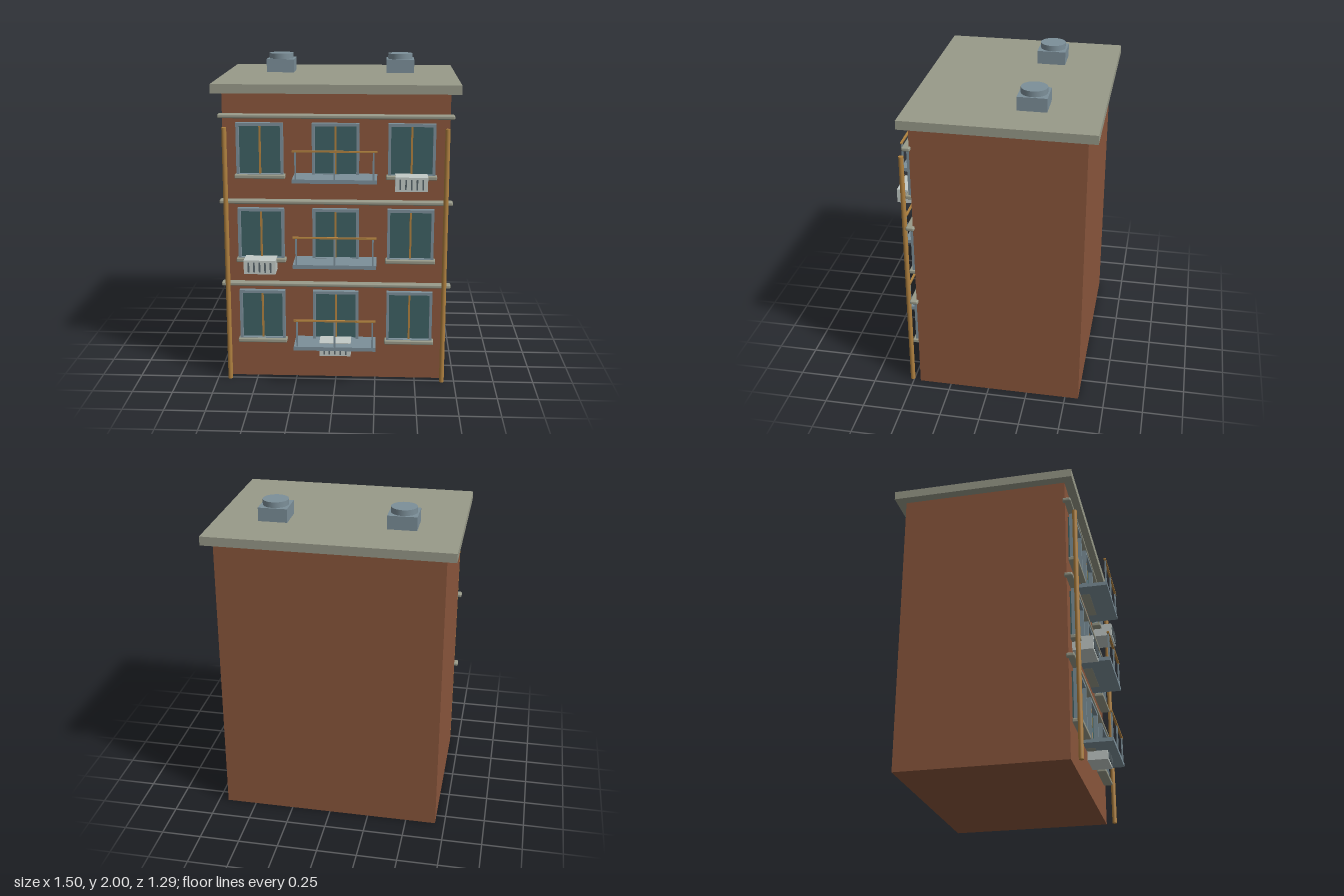
import * as THREE from 'three';
import { RoundedBoxGeometry } from 'three/addons/geometries/RoundedBoxGeometry.js';

const paint = (name, color) => {
  const m = new THREE.MeshStandardMaterial({ color });
  m.name = name;
  return m;
};

export function createModel() {
  const brick = paint('brick', 0x8a563c);
  const concrete = paint('concrete', 0x989a89);
  const steel = paint('blue grey steel', 0x7c8f99);
  const glass = paint('teal glass', 0x3d6164);
  const brass = paint('brass', 0xb0813f);
  const casing = paint('pale casing', 0xc2cac6);
  const slatGrey = paint('slat grey', 0x59656a);

  const building = new THREE.Group();
  building.name = 'apartmentBlock';

  const add = (parent, name, geometry, material, x, y, z) => {
    const mesh = new THREE.Mesh(geometry, material);
    mesh.name = name;
    mesh.position.set(x, y, z);
    parent.add(mesh);
    return mesh;
  };
  const box = (w, h, d) => new THREE.BoxGeometry(w, h, d);
  const group = (name, x, y, z) => {
    const g = new THREE.Group();
    g.name = name;
    g.position.set(x, y, z);
    building.add(g);
    return g;
  };

  const wallZ = 0.455; // front face of the wall
  const floors = [0.258, 0.788, 1.318]; // sill heights
  const columns = [-0.461, 0, 0.461];

  // Walls and roof slab
  add(building, 'walls', box(1.38, 1.83, 1.04), brick, 0, 0.915, -0.065);
  add(building, 'roofSlab', box(1.5, 0.055, 1.155), concrete, 0, 1.8525, -0.0675);

  // Rooftop vents
  for (const x of [-0.393, 0.393]) {
    const vent = group('roofVent', x, 1.88, -0.23);
    add(vent, 'ventBase', box(0.18, 0.085, 0.18), steel, 0, 0.0425, 0);
    add(vent, 'ventCap', new THREE.CylinderGeometry(0.08, 0.08, 0.035, 32), steel, 0, 0.1025, 0);
  }

  // Drainpipes at the front corners
  for (const x of [-0.672, 0.672]) {
    add(building, 'drainpipe', new THREE.CylinderGeometry(0.015, 0.015, 1.62, 16), brass, x, 0.81, 0.511);
  }

  // Window frame: one extruded rectangle with an opening
  const rect = (target, w, y0, y1) => {
    target.moveTo(-w, y0);
    target.lineTo(w, y0);
    target.lineTo(w, y1);
    target.lineTo(-w, y1);
    target.closePath();
    return target;
  };
  const frameShape = rect(new THREE.Shape(), 0.143, 0, 0.328);
  frameShape.holes.push(rect(new THREE.Path(), 0.126, 0.015, 0.31));
  const frameGeometry = new THREE.ExtrudeGeometry(frameShape, { depth: 0.032, bevelEnabled: false });
  const sillGeometry = new RoundedBoxGeometry(0.308, 0.025, 0.06, 2, 0.006);

  const addWindow = (x, y) => {
    const win = group('window', x, y, wallZ);
    add(win, 'glassPane', box(0.264, 0.314, 0.014), glass, 0, 0.157, 0.007);
    add(win, 'windowFrame', frameGeometry, steel, 0, 0, 0.01);
    add(win, 'mullion', box(0.012, 0.298, 0.014), brass, 0, 0.161, 0.018);
    add(win, 'windowSill', sillGeometry, concrete, 0, 0, 0.03);
  };

  // Balcony slab with posts and handrail
  const addBalcony = (y) => {
    const balcony = group('balcony', 0, y, 0);
    add(balcony, 'balconySlab', box(0.506, 0.024, 0.187), steel, 0, 0.002, 0.5485);
    for (const x of [-0.232, 0, 0.232]) {
      add(balcony, 'railPost', box(0.01, 0.17, 0.01), steel, x, 0.096, 0.634);
    }
    add(balcony, 'handrail', box(0.506, 0.01, 0.014), brass, 0, 0.183, 0.634);
  };

  // Air conditioner with front slats
  const addCooler = (x, y) => {
    const cooler = group('airConditioner', x, y, 0);
    add(cooler, 'coolerCasing', box(0.196, 0.087, 0.126), casing, 0, 0, 0.52);
    for (let i = -2; i <= 2; i++) {
      add(cooler, 'coolerSlat', box(0.009, 0.062, 0.008), slatGrey, i * 0.034, 0, 0.587);
    }
  };

  floors.forEach((y, floor) => {
    columns.forEach((x) => addWindow(x, y));
    addBalcony(y);
    addCooler([0, -0.463, 0.46][floor], y - 0.024);
    // Concrete band above each floor
    add(building, 'floorBand', new RoundedBoxGeometry(1.43, 0.026, 0.052, 3, 0.009), concrete, 0, y + 0.367, 0.469);
  });

  return building;
}
